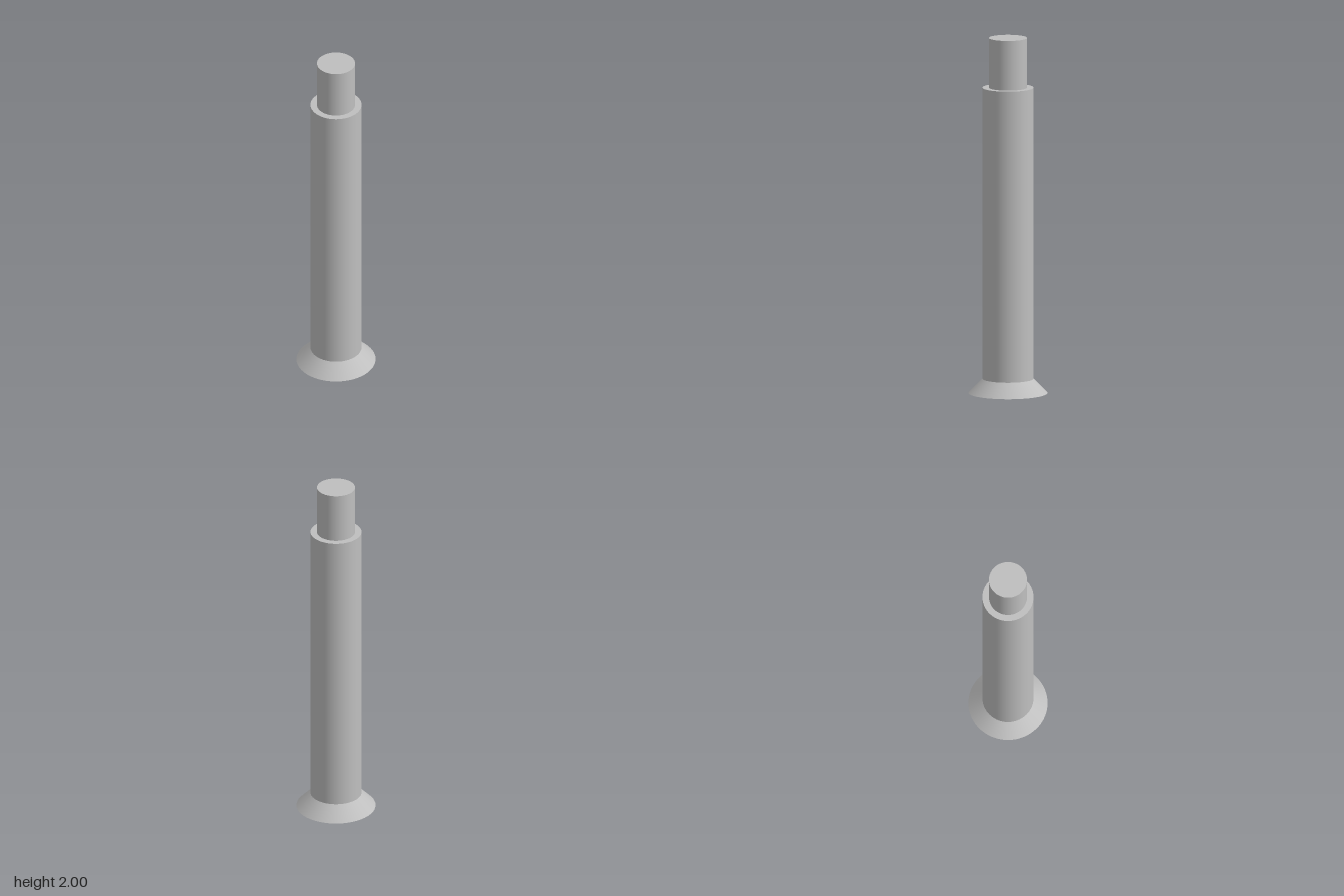
import * as THREE from 'three';

const SEGMENTS = 64;
const HEAD_R = 0.22, SHANK_R = 0.142, TIP_R = 0.106, SOCKET_R = 0.079;
const HEAD_TOP = 0.08, SHOULDER_Y = 1.72, TOP_Y = 2, SOCKET_DEPTH = 0.13;

export function createModel() {
  const group = new THREE.Group();
  const steel = new THREE.MeshStandardMaterial({ color: 0xbfbfbf });
  steel.name = 'steel';

  const add = (name, geometry) => {
    const mesh = new THREE.Mesh(geometry, steel);
    mesh.name = name;
    group.add(mesh);
    return mesh;
  };
  // Open round wall between two heights
  const wall = (name, rTop, rBottom, y0, y1) =>
    add(name, new THREE.CylinderGeometry(rTop, rBottom, y1 - y0, SEGMENTS, 1, true)
      .translate(0, (y0 + y1) / 2, 0));

  // Countersunk head, shank and narrower tip
  wall('headCone', SHANK_R, HEAD_R, 0, HEAD_TOP);
  wall('shank', SHANK_R, SHANK_R, HEAD_TOP, SHOULDER_Y);
  wall('tip', TIP_R, TIP_R, SHOULDER_Y, TOP_Y);

  // Flat shoulder and tip end
  add('shoulder', new THREE.RingGeometry(TIP_R, SHANK_R, SEGMENTS)
    .rotateX(-Math.PI / 2).translate(0, SHOULDER_Y, 0));
  add('tipEnd', new THREE.CircleGeometry(TIP_R, SEGMENTS)
    .rotateX(-Math.PI / 2).translate(0, TOP_Y, 0));

  // Underside of the head with a hexagonal opening
  const face = new THREE.Shape().absarc(0, 0, HEAD_R, 0, Math.PI * 2);
  const corners = [];
  for (let i = 0; i < 6; i++) {
    const a = -i * Math.PI / 3;
    corners.push(new THREE.Vector2(Math.cos(a) * SOCKET_R, Math.sin(a) * SOCKET_R));
  }
  face.holes.push(new THREE.Path(corners));
  add('headFace', new THREE.ShapeGeometry(face, SEGMENTS / 2).rotateX(Math.PI / 2));

  // Hex socket: floor and inward-facing walls
  const profile = [[0, SOCKET_DEPTH], [SOCKET_R, SOCKET_DEPTH], [SOCKET_R, 0]]
    .map(([x, y]) => new THREE.Vector2(x, y));
  const socket = new THREE.LatheGeometry(profile, 6, Math.PI / 2).toNonIndexed();
  socket.computeVertexNormals();
  add('hexSocket', socket);

  return group;
}
